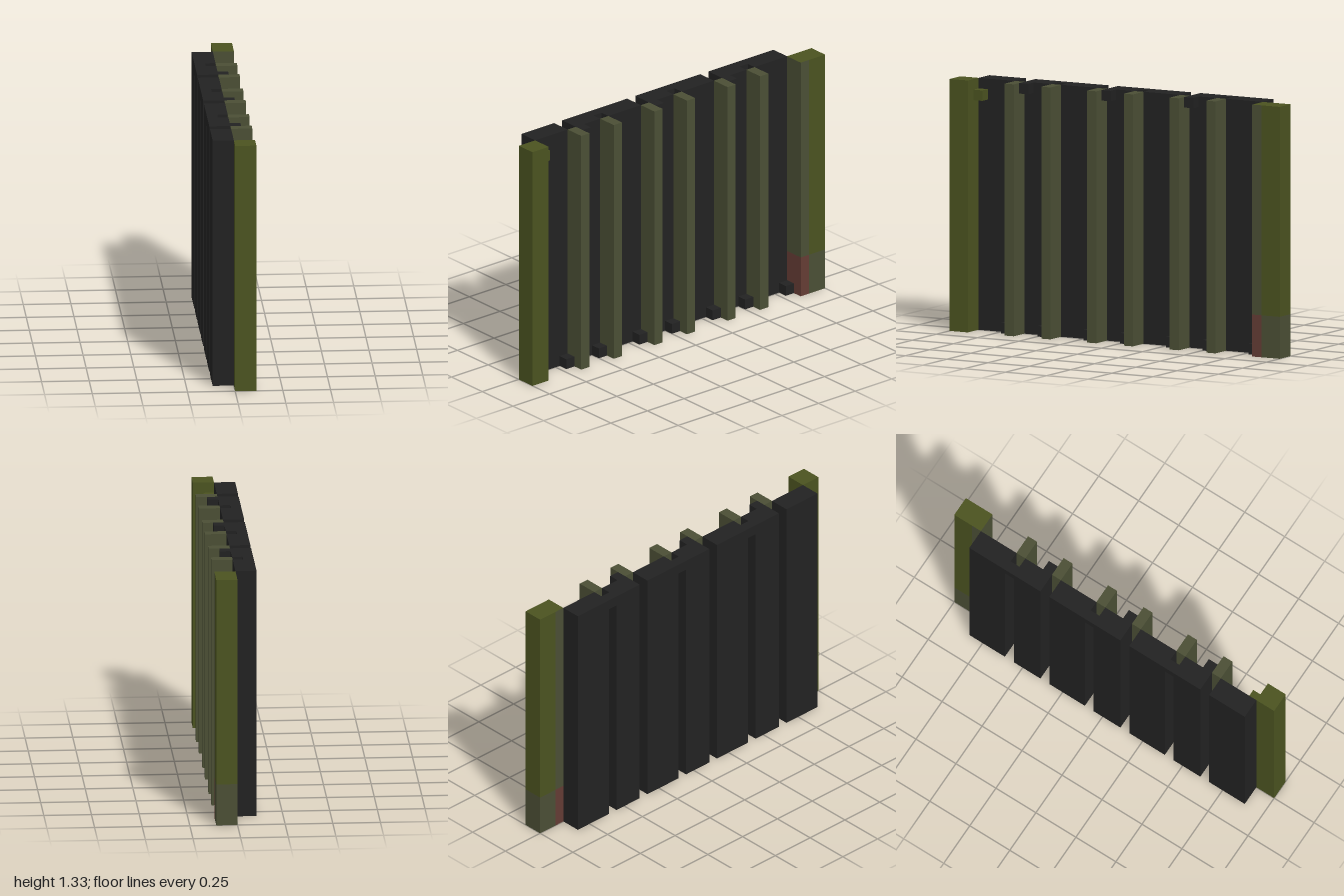
import * as THREE from 'three';

const U = 1 / 18; // grid unit: 36 units long, 24 tall, 4 deep

const paint = (name, color) => {
  const m = new THREE.MeshStandardMaterial({ color });
  m.name = name;
  return m;
};

export function createModel() {
  const charcoal = paint('charcoal', 0x222222);
  const olive = paint('olive', 0x4b5320);
  const greyOlive = paint('greyOlive', 0x4b4f35);
  const brown = paint('brown', 0x643c34);

  const model = new THREE.Group();
  model.name = 'slattedWall';

  // Box from min/max extents given in grid units
  const block = (name, material, [x0, x1], [y0, y1], [z0, z1]) => {
    const geo = new THREE.BoxGeometry((x1 - x0) * U, (y1 - y0) * U, (z1 - z0) * U);
    const mesh = new THREE.Mesh(geo, material);
    mesh.position.set((x0 + x1) / 2 * U, (y0 + y1) / 2 * U, (z0 + z1) / 2 * U);
    mesh.name = name;
    model.add(mesh);
  };

  // Back planks with narrow gaps between them
  for (const z of [[-15, -11], [-10, -7], [-6, -2], [-1, 2], [3, 7], [8, 11], [12, 16]])
    block('backPlank', charcoal, [-2, 0], [0, 24], z);

  // Caps bridging every other gap at the top
  for (const z of [-11, -2, 7]) block('gapCap', charcoal, [-2, -1], [23, 24], [z, z + 1]);

  // Front slats covering the gaps
  for (const z of [-11, -7, -2, 2, 7, 11])
    block('frontSlat', greyOlive, [0, 2], [0, 24], [z, z + 1]);

  // Small studs along the bottom and top edges
  for (const z of [-15, -10, -6, -1, 3, 8, 12])
    block('bottomStud', charcoal, [0, 1], [0, 1], [z, z + 1]);
  for (const z of [-8, 1, 10]) block('topStud', charcoal, [0, 1], [23, 24], [z, z + 1]);

  // Front post with its stud
  block('frontPost', olive, [0, 2], [0, 24], [16, 18]);
  block('postStud', olive, [0, 1], [22, 23], [15, 16]);

  // Rear post: two-tone body with a grey inner strip, olive on top and brown at the foot
  block('rearPost', olive, [0, 2], [4, 24], [-18, -16]);
  block('rearPostFoot', greyOlive, [0, 2], [0, 4], [-18, -16]);
  const g = greyOlive;
  block('rearPostStrip', [g, g, olive, g, g, g], [0, 2], [4, 24], [-16, -15]);
  block('rearPostStripFoot', brown, [0, 2], [0, 4], [-16, -15]);

  return model;
}
